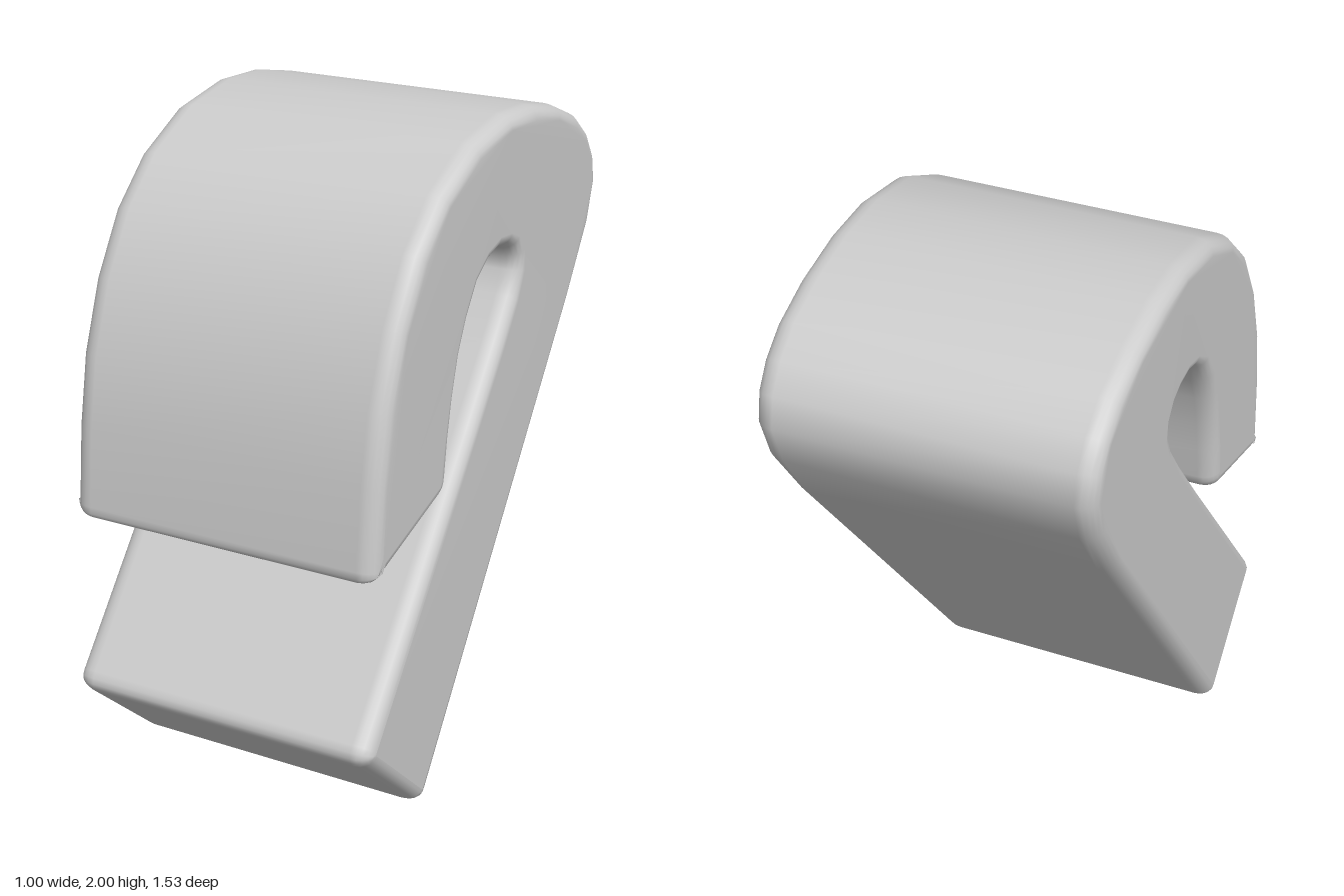
import * as THREE from 'three';
import { mergeVertices } from 'three/addons/utils/BufferGeometryUtils.js';

const WIDTH = 1;
const BEVEL = 0.045;      // inset of the rounded rim in the profile plane
const BEVEL_DEPTH = 0.06; // depth of the rounded rim across the width

// Side profile of the hook as [z, y]; a third value rounds that corner
const PROFILE = [
  // outer arch, from the free tip over the top
  [0.74, 0.85, 0.05], [0.71, 1.14], [0.67, 1.35], [0.59, 1.56], [0.475, 1.74],
  [0.33, 1.87], [0.13, 1.965], [-0.09, 2.0], [-0.27, 1.99], [-0.45, 1.95],
  [-0.6, 1.89], [-0.69, 1.82], [-0.745, 1.74], [-0.765, 1.645], [-0.72, 1.51],
  [-0.58, 1.3],
  // foot of the straight leg
  [0.41, -0.015, 0.05], [0.785, 0.325, 0.05],
  // inner bend back to the free tip
  [0.135, 1.1], [-0.045, 1.32], [-0.135, 1.44], [-0.168, 1.51], [-0.165, 1.55],
  [-0.14, 1.582], [-0.1, 1.6], [-0.04, 1.607], [0.03, 1.59], [0.1, 1.545],
  [0.16, 1.46], [0.205, 1.37], [0.24, 1.25], [0.262, 1.14],
  [0.285, 0.975, 0.05],
];

// Replaces each marked corner with a short curve
function roundedOutline(profile) {
  const n = profile.length;
  const at = (i) => new THREE.Vector2(...profile[(i + n) % n].slice(0, 2));
  return profile.flatMap(([, , r], i) => {
    const p = at(i);
    if (!r) return [p];
    const toward = (q) => p.clone().add(q.sub(p).setLength(r));
    return new THREE.QuadraticBezierCurve(toward(at(i - 1)), p, toward(at(i + 1))).getPoints(4);
  });
}

export function createModel() {
  const depth = WIDTH - 2 * BEVEL_DEPTH;
  let geometry = new THREE.ExtrudeGeometry(new THREE.Shape(roundedOutline(PROFILE)), {
    depth,
    bevelEnabled: true,
    bevelSize: BEVEL,
    bevelOffset: -BEVEL,
    bevelThickness: BEVEL_DEPTH,
    bevelSegments: 5,
  });
  geometry.translate(0, 0, -depth / 2);
  geometry.rotateY(-Math.PI / 2); // profile into the z-y plane, width along x

  // Weld the faces so the rim shades smoothly
  geometry.deleteAttribute('uv');
  geometry.deleteAttribute('normal');
  geometry = mergeVertices(geometry, 1e-4);
  geometry.computeVertexNormals();

  const hook = new THREE.Mesh(geometry, new THREE.MeshStandardMaterial({ color: 0xcccccc }));
  hook.name = 'curvedHook';

  const group = new THREE.Group();
  group.name = 'hookBlock';
  group.add(hook);
  return group;
}
